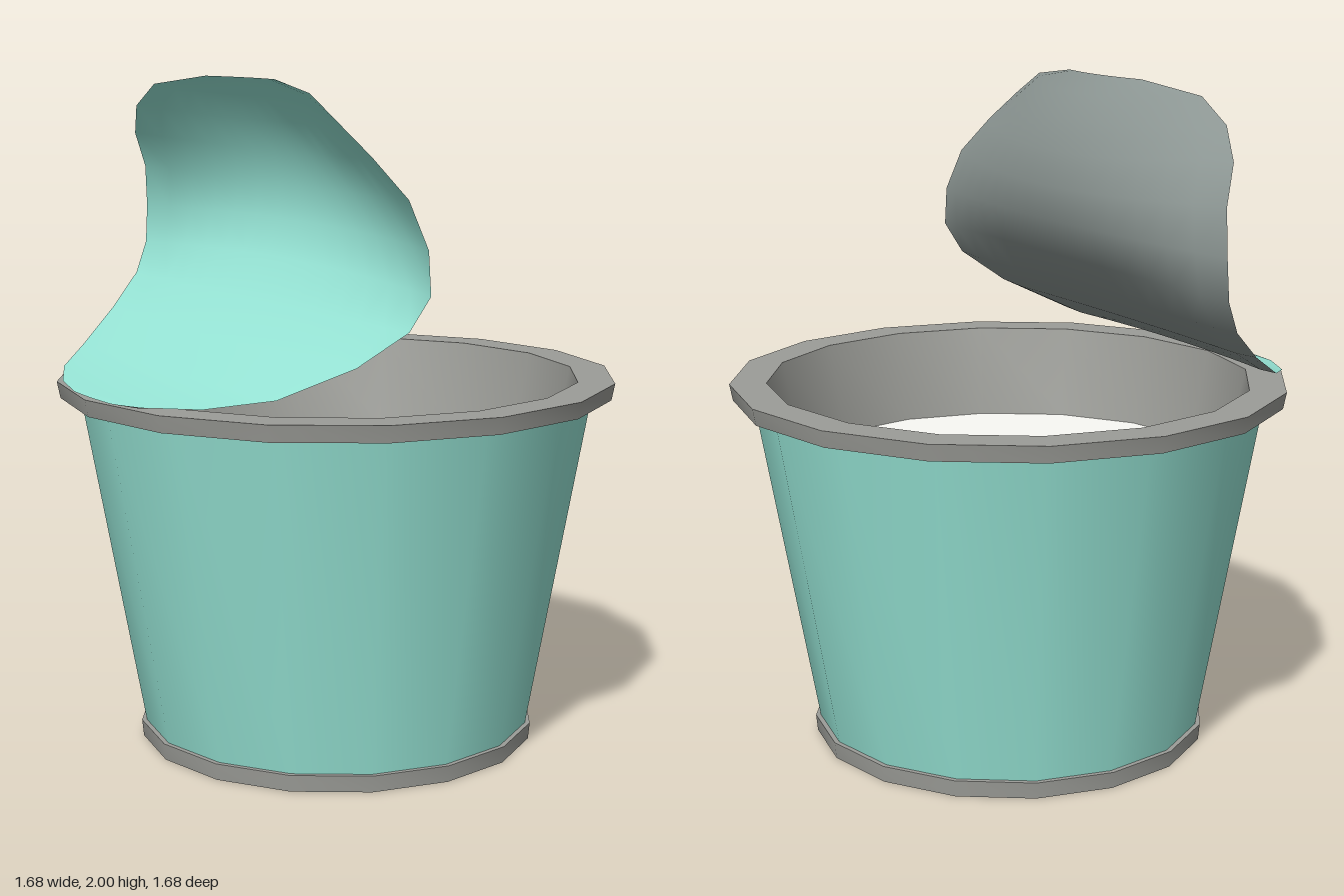
import * as THREE from 'three';
import { toCreasedNormals } from 'three/addons/utils/BufferGeometryUtils.js';

const SIDES = 16;
const material = (color) => new THREE.MeshStandardMaterial({ color });

// Turned part from a [radius, height] profile, smooth around and sharp at the profile corners
function turned(name, profile, mat) {
  const points = profile.map(([r, y]) => new THREE.Vector2(r, y));
  const geometry = toCreasedNormals(new THREE.LatheGeometry(points, SIDES), 0.7);
  const mesh = new THREE.Mesh(geometry, mat);
  mesh.name = name;
  return mesh;
}

// Flat disc facing up (1) or down (-1)
function disc(name, radius, y, facing, mat) {
  const mesh = new THREE.Mesh(new THREE.CircleGeometry(radius, SIDES), mat);
  mesh.rotation.x = -facing * Math.PI / 2;
  mesh.position.y = y;
  mesh.name = name;
  return mesh;
}

// Lid cross-sections from hinge to tip: centre x, y, then edge x, y, half width
const LID_ROWS = [
  [-0.82, 1.114, -0.815, 1.114, 0.12],
  [-0.79, 1.122, -0.785, 1.122, 0.26],
  [-0.71, 1.137, -0.70, 1.135, 0.43],
  [-0.59, 1.172, -0.56, 1.17, 0.585],
  [-0.42, 1.255, -0.39, 1.26, 0.715],
  [-0.29, 1.355, -0.27, 1.355, 0.785],
  [-0.18, 1.47, -0.22, 1.45, 0.812],
  [-0.135, 1.58, -0.22, 1.57, 0.80],
  [-0.13, 1.68, -0.25, 1.70, 0.75],
  [-0.155, 1.78, -0.32, 1.81, 0.68],
  [-0.20, 1.87, -0.365, 1.90, 0.58],
  [-0.25, 1.94, -0.37, 1.97, 0.45],
  [-0.31, 2.0, -0.33, 2.0, 0.20],
];
const LID_COLUMNS = 14;

// One skin of the curled lid; the inner skin bulges by a thickness that closes at the border
function lidSkin(name, inner, thickness, mat) {
  const positions = [];
  const index = [];
  const last = LID_ROWS.length - 1;
  for (const [cx, cy, ex, ey, half] of LID_ROWS) {
    for (let j = 0; j <= LID_COLUMNS; j++) {
      const s = (j / LID_COLUMNS) * 2 - 1;
      positions.push(cx + (ex - cx) * s * s, cy + (ey - cy) * s * s, half * s);
    }
  }
  for (let i = 0; i < last; i++) {
    for (let j = 0; j < LID_COLUMNS; j++) {
      const a = i * (LID_COLUMNS + 1) + j;
      const b = a + LID_COLUMNS + 1;
      if (inner) index.push(a, b, a + 1, b, b + 1, a + 1);
      else index.push(a, a + 1, b, b, a + 1, b + 1);
    }
  }
  const geometry = new THREE.BufferGeometry();
  geometry.setAttribute('position', new THREE.Float32BufferAttribute(positions, 3));
  geometry.setIndex(index);
  geometry.computeVertexNormals();

  // Push the middle of the skin out along its normals
  const { position, normal } = geometry.attributes;
  const point = new THREE.Vector3();
  const direction = new THREE.Vector3();
  for (let k = 0; k < position.count; k++) {
    const row = Math.floor(k / (LID_COLUMNS + 1));
    const column = k % (LID_COLUMNS + 1);
    const onBorder = row === 0 || row === last || column === 0 || column === LID_COLUMNS;
    if (onBorder) continue;
    direction.fromBufferAttribute(normal, k);
    point.fromBufferAttribute(position, k).addScaledVector(direction, thickness);
    position.setXYZ(k, point.x, point.y, point.z);
  }
  const mesh = new THREE.Mesh(geometry, mat);
  mesh.name = name;
  return mesh;
}

export function createModel() {
  const model = new THREE.Group();
  model.name = 'openCup';
  const teal = material(0x96e4d5);
  const grey = material(0x9c9d98);

  // Cup body
  model.add(turned('outerWall', [[0.59, 0.05], [0.77, 1.06]], teal));
  model.add(turned('innerWall', [[0.73, 1.11], [0.67, 0.83]], grey));
  model.add(disc('contents', 0.67, 0.83, 1, material(0xfafaf5)));

  // Rim and foot
  model.add(turned('rim', [[0.76, 1.06], [0.83, 1.06], [0.84, 1.11], [0.73, 1.11]], grey));
  model.add(turned('footRing', [[0.5, 0.05], [0.5, 0], [0.6, 0], [0.605, 0.05], [0.58, 0.05]], grey));
  model.add(disc('base', 0.5, 0.05, -1, grey));

  // Peeled lid, coloured outside and grey inside
  const lid = new THREE.Group();
  lid.name = 'peeledLid';
  lid.add(lidSkin('lidOutside', false, 0, teal), lidSkin('lidInside', true, 0.007, material(0x8c9693)));
  model.add(lid);

  return model;
}
